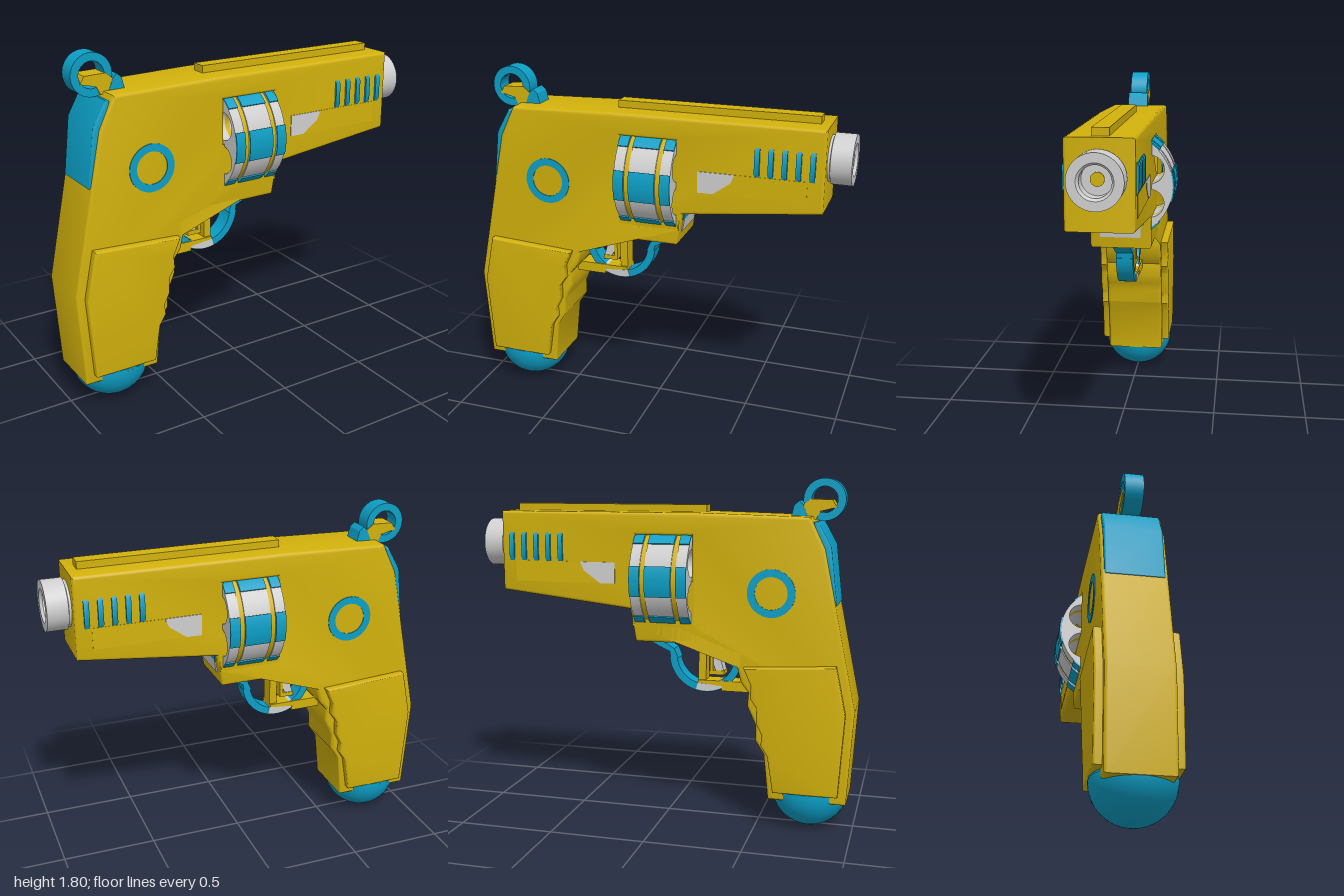
import * as THREE from 'three';
import { toCreasedNormals } from 'three/addons/utils/BufferGeometryUtils.js';

const mat = (name, color) => {
  const m = new THREE.MeshStandardMaterial({ color });
  m.name = name;
  return m;
};

export function createModel() {
  const yellow = mat('yellow', 0xd2b10c);
  const blue = mat('blue', 0x0c9fc6);
  const grey = mat('light grey', 0xcfcfcf);
  const model = new THREE.Group();

  const add = (name, geometry, material, parent = model) => {
    const mesh = new THREE.Mesh(geometry, material);
    mesh.name = name;
    parent.add(mesh);
    return mesh;
  };
  const outline = (pts) => new THREE.Shape(pts.map(([x, y]) => new THREE.Vector2(x, y)));
  // Extrude a side outline between z0 and z1, optionally with rounded edges
  const slab = (shape, z0, z1, bevel = 0) => {
    const g = new THREE.ExtrudeGeometry(shape, {
      depth: z1 - z0 - 2 * bevel, bevelEnabled: bevel > 0, bevelThickness: bevel,
      bevelSize: bevel, bevelOffset: -bevel, bevelSegments: 3, curveSegments: 32,
    });
    g.translate(0, 0, z0 + bevel);
    return toCreasedNormals(g, 0.6);
  };
  const box = (x0, x1, y0, y1, z) =>
    new THREE.BoxGeometry(x1 - x0, y1 - y0, 2 * z).translate((x0 + x1) / 2, (y0 + y1) / 2, 0);
  const circle = (x, y, r) => new THREE.Path().absarc(x, y, r, 0, Math.PI * 2, true);
  // Ring sector outline between two angles
  const sector = (x, y, r0, r1, a0, a1) => {
    const s = new THREE.Shape();
    s.absarc(x, y, r1, a0, a1, false);
    s.absarc(x, y, r0, a1, a0, true);
    return s;
  };
  const ring = (x, y, r0, r1) => {
    const s = new THREE.Shape().absarc(x, y, r1, 0, Math.PI * 2, false);
    s.holes.push(circle(x, y, r0));
    return s;
  };

  // Frame, barrel housing and grip core, with a window for the drum
  const frame = outline([
    [-0.97, 0.16], [-0.57, 0.16], [-0.545, 0.4], [-0.5, 0.47], [-0.5, 0.55], [-0.48, 0.594],
    [-0.455, 0.65], [-0.46, 0.72], [-0.42, 0.77], [-0.4, 0.85], [-0.405, 0.91], [-0.25, 0.96],
    [0.14, 0.96], [0.17, 1.13], [0.88, 1.21], [0.88, 1.63], [-0.2, 1.63], [-0.755, 1.615],
    [-0.83, 1.46], [-0.885, 1.2], [-1, 0.65],
  ]);
  frame.holes.push(new THREE.Path([[-0.16, 1.06], [-0.16, 1.515], [0.14, 1.515], [0.14, 1.06]]
    .map(([x, y]) => new THREE.Vector2(x, y))));
  add('frame', slab(frame, -0.16, 0.16, 0.015), yellow);
  add('topRail', box(-0.21, 0.83, 1.62, 1.667, 0.04), yellow);

  // Backstrap
  add('backstrap', slab(outline([
    [-0.8, 1.2], [-0.77, 1.59], [-0.79, 1.595], [-0.86, 1.47], [-0.895, 1.18],
  ]), -0.145, 0.145, 0.01), blue);

  // Grip plates and butt cap
  const gripOutline = outline([
    [-0.93, 0.21], [-0.6, 0.21], [-0.57, 0.4], [-0.535, 0.455], [-0.54, 0.51], [-0.51, 0.57],
    [-0.51, 0.65], [-0.476, 0.7], [-0.48, 0.765], [-0.44, 0.855], [-0.905, 0.882], [-0.957, 0.636],
  ]);
  add('buttCap', new THREE.SphereGeometry(0.2, 40, 16, 0, Math.PI * 2, Math.PI / 2, Math.PI / 2)
    .translate(-0.77, 0.2, 0), blue);
  add('buttCapTop', new THREE.CylinderGeometry(0.197, 0.197, 0.012, 40).translate(-0.77, 0.204, 0), blue);

  // Details repeated on both sides
  const panel = outline([[0.25, 1.26], [0.8, 1.26], [0.8, 1.37], [0.25, 1.37]]);
  const patch = outline([[0.25, 1.26], [0.33, 1.26], [0.42, 1.325], [0.44, 1.37], [0.25, 1.37]]);
  for (const s of [1, -1]) {
    const side = (name, shape, a, b, m, bevel) =>
      add(name, slab(shape, Math.min(s * a, s * b), Math.max(s * a, s * b), bevel), m);
    side('gripPlate', gripOutline, 0.15, 0.2, yellow, 0.01);
    side('sideRing', ring(-0.57, 1.235, 0.083, 0.122), 0.157, 0.164, blue);
    side('sidePanel', panel, 0.156, 0.162, yellow);
    side('sidePanelPatch', patch, 0.157, 0.164, grey);
  }

  // Vent slats wrap through the housing
  for (let i = 0; i < 5; i++) {
    const x = 0.55 + i * 0.068;
    const g = slab(outline([
      [-0.155, 1.36], [0.155, 1.36], [0.171, 1.39], [0.171, 1.5], [0.155, 1.525],
      [-0.155, 1.525], [-0.171, 1.5], [-0.171, 1.39],
    ]), -0.013, 0.013).rotateY(Math.PI / 2).translate(x, 0, 0);
    add('ventSlat', g, blue);
  }

  // Revolving drum with six open chambers, running along x
  const drum = new THREE.Group();
  drum.name = 'drum';
  drum.position.set(0, 1.287, 0);
  model.add(drum);
  const disc = (r) => {
    const s = new THREE.Shape().absarc(0, 0, r, 0, Math.PI * 2, false);
    for (let i = 0; i < 6; i++) {
      const a = Math.PI / 6 + i * Math.PI / 3;
      s.holes.push(circle(0.175 * Math.cos(a), 0.175 * Math.sin(a), 0.072));
    }
    return s;
  };
  const along = (shape, x0, x1) => slab(shape, x0, x1).rotateY(Math.PI / 2);
  for (const [x0, x1] of [[-0.158, -0.104], [-0.078, 0.06], [0.086, 0.14]]) {
    add('drumBand', along(disc(0.268), x0, x1), grey, drum);
    for (let i = 0; i < 6; i++) {
      const a = i * Math.PI / 3;
      add('drumRib', along(sector(0, 0, 0.264, 0.275, a - 0.29, a + 0.29), x0, x1), blue, drum);
    }
  }
  for (const [x0, x1] of [[-0.104, -0.078], [0.06, 0.086]])
    add('drumGroove', along(disc(0.262), x0, x1), yellow, drum);

  // Muzzle tube
  const muzzle = new THREE.LatheGeometry([
    [0.115, -0.01], [0.115, 0.012], [0.127, 0.016], [0.127, 0.12], [0.083, 0.12], [0.072, 0.105],
    [0.072, 0.04], [0, 0.04],
  ].map(([r, y]) => new THREE.Vector2(r, y)), 40);
  add('muzzle', toCreasedNormals(muzzle, 0.6).rotateZ(-Math.PI / 2).translate(0.88, 1.455, 0), grey);
  add('muzzlePlug', new THREE.CylinderGeometry(0.032, 0.032, 0.008, 24)
    .rotateZ(Math.PI / 2).translate(0.922, 1.455, 0), yellow);

  // Plates on the sloped front of the lower frame
  const front = (name, y, h, w, m) => {
    const p = add(name, new THREE.BoxGeometry(0.012, h, w), m);
    p.position.set(0.14 + (y - 0.96) * 0.176, y, 0);
    p.rotation.z = -0.175;
  };
  front('frontPlate', 1.055, 0.07, 0.21, grey);
  front('frontPlateTrim', 1.108, 0.038, 0.25, blue);

  // Hammer: ring, yellow shank and small catch
  add('hammerRing', slab(ring(-0.81, 1.698, 0.065, 0.105), -0.047, 0.047), blue);
  add('hammerShank', slab(outline([
    [-0.79, 1.64], [-0.77, 1.6], [-0.66, 1.6], [-0.68, 1.65], [-0.74, 1.7], [-0.85, 1.697], [-0.872, 1.66],
  ]), -0.053, 0.053), yellow);
  add('hammerCatch', slab(outline([
    [-0.73, 1.61], [-0.645, 1.61], [-0.66, 1.67], [-0.685, 1.692], [-0.705, 1.672],
  ]), -0.055, 0.055), blue);

  // Trigger guard with a grey lower inlay and a strut to the frame
  const gx = -0.21, gy = 0.882;
  add('triggerGuard', slab(sector(gx, gy, 0.155, 0.195, 2.9, 6.18), -0.046, 0.046), blue);
  add('guardInlay', slab(sector(gx, gy, 0.152, 0.19, 4.1, 4.98), -0.049, 0.049), grey);
  add('guardStrut', slab(outline([
    [-0.062, 0.86], [-0.02, 0.862], [-0.015, 0.893], [0.115, 0.955], [0.14, 0.97], [0.06, 0.97], [-0.04, 0.91],
  ]), -0.046, 0.046), blue);
  add('guardBrace', slab(outline([
    [-0.4, 0.9], [-0.37, 0.82], [-0.32, 0.84], [-0.29, 0.9], [-0.27, 0.96],
  ]), -0.03, 0.03), blue);

  // Trigger and yellow brackets
  add('trigger', slab(outline([
    [-0.31, 0.79], [-0.265, 0.8], [-0.238, 0.86], [-0.235, 0.96], [-0.3, 0.96], [-0.285, 0.88],
  ]), -0.036, 0.036), grey);
  add('triggerTip', box(-0.31, -0.245, 0.78, 0.803, 0.04), yellow);
  add('triggerBack', box(-0.25, -0.232, 0.78, 0.9, 0.04), yellow);
  add('bracketPost', box(-0.213, -0.172, 0.72, 0.97, 0.04), yellow);
  add('bracketBar', slab(outline([
    [-0.47, 0.697], [-0.3, 0.697], [-0.3, 0.722], [-0.172, 0.735], [-0.172, 0.75], [-0.47, 0.75],
  ]), -0.052, 0.052), yellow);

  return model;
}
